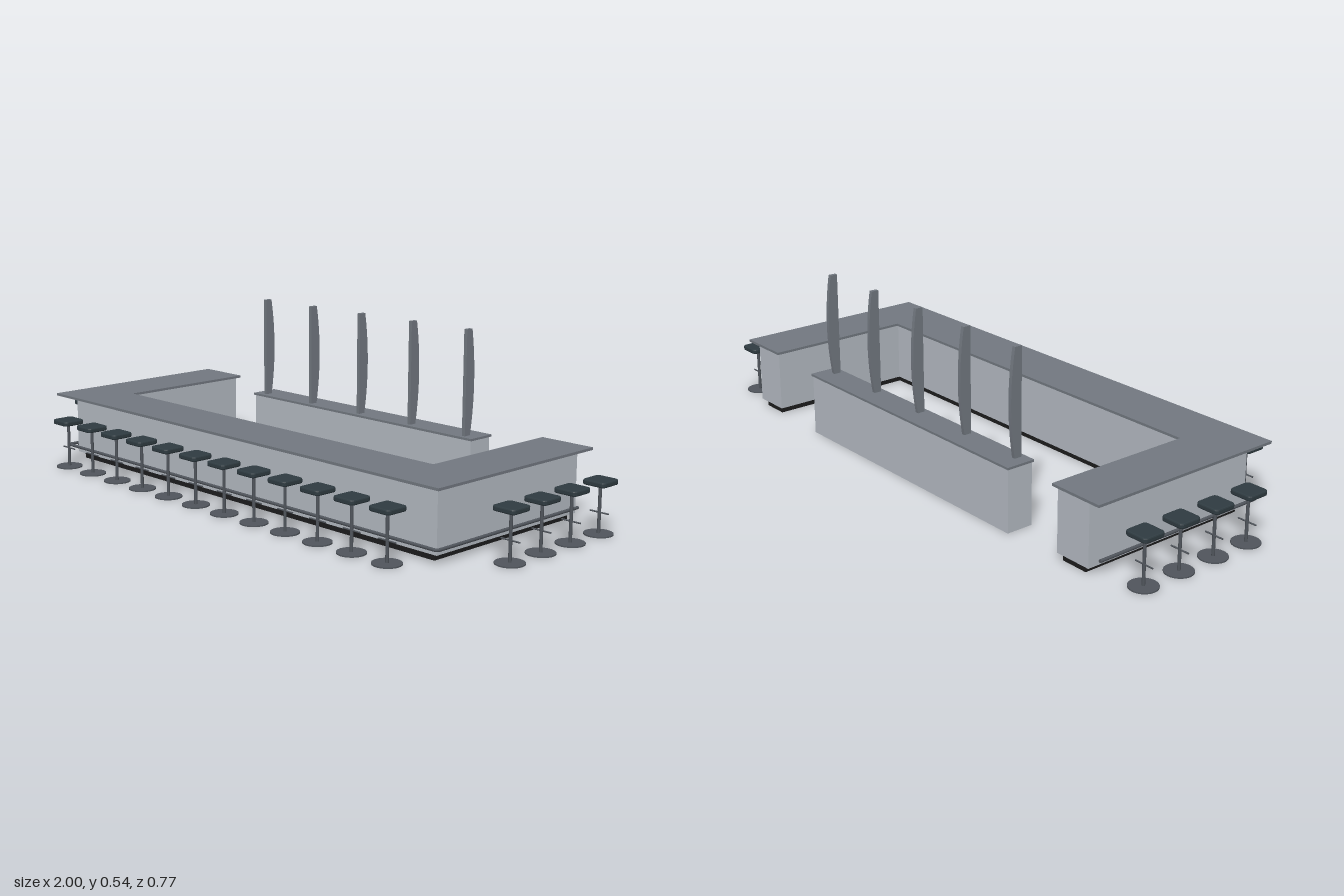
import * as THREE from 'three';

const mat = (name, color) => {
  const m = new THREE.MeshStandardMaterial({ color });
  m.name = name;
  return m;
};

export function createModel() {
  const root = new THREE.Group();
  root.name = 'barCounterWithStools';
  const panel = mat('pale grey panel', 0xb4bac2);
  const top = mat('slate grey top', 0x727880);
  const plinthBlack = mat('black plinth', 0x1c1c1d);
  const metal = mat('dark metal', 0x50555c);
  const leather = mat('dark seat', 0x2f3b41);

  const add = (parent, name, geometry, material, x = 0, y = 0, z = 0) => {
    const mesh = new THREE.Mesh(geometry, material);
    mesh.name = name;
    mesh.position.set(x, y, z);
    parent.add(mesh);
    return mesh;
  };

  // U-shaped slab, open towards the back, standing from y0 to y1
  const uSlab = (outX, inX, front, inFront, back, y0, y1) => {
    const pts = [[-outX, front], [outX, front], [outX, back], [inX, back],
      [inX, inFront], [-inX, inFront], [-inX, back], [-outX, back]];
    const shape = new THREE.Shape(pts.map(([x, z]) => new THREE.Vector2(x, -z)));
    const g = new THREE.ExtrudeGeometry(shape, { depth: y1 - y0, bevelEnabled: false });
    return g.rotateX(-Math.PI / 2).translate(0, y0, 0);
  };

  // Main counter
  const counter = new THREE.Group();
  counter.name = 'counter';
  root.add(counter);
  add(counter, 'plinth', uSlab(0.802, 0.712, 0.228, 0.132, -0.362, 0, 0.021), plinthBlack);
  add(counter, 'counterBody', uSlab(0.822, 0.698, 0.242, 0.12, -0.372, 0.021, 0.218), panel);
  add(counter, 'counterTop', uSlab(0.868, 0.686, 0.293, 0.108, -0.383, 0.218, 0.226), top);

  // Foot rail around the three outer sides
  const railPath = new THREE.CurvePath();
  const v = (x, z) => new THREE.Vector3(x, 0.046, z);
  const rx = 0.845, rz = 0.267, r = 0.008;
  railPath.add(new THREE.LineCurve3(v(-rx, -0.352), v(-rx, rz - r)));
  railPath.add(new THREE.QuadraticBezierCurve3(v(-rx, rz - r), v(-rx, rz), v(-rx + r, rz)));
  railPath.add(new THREE.LineCurve3(v(-rx + r, rz), v(rx - r, rz)));
  railPath.add(new THREE.QuadraticBezierCurve3(v(rx - r, rz), v(rx, rz), v(rx, rz - r)));
  railPath.add(new THREE.LineCurve3(v(rx, rz - r), v(rx, -0.352)));
  add(counter, 'footRail', new THREE.TubeGeometry(railPath, 400, 0.005, 10), metal);
  for (const s of [-1, 1]) {
    add(counter, 'railCap', new THREE.CircleGeometry(0.005, 10).rotateY(Math.PI), metal, s * rx, 0.046, -0.352);
  }

  // Back island
  const island = new THREE.Group();
  island.name = 'backIsland';
  root.add(island);
  add(island, 'islandBody', new THREE.BoxGeometry(0.982, 0.197, 0.088), panel, 0, 0.0985, -0.328);
  add(island, 'islandTop', new THREE.BoxGeometry(0.992, 0.007, 0.096), top, 0, 0.2, -0.328);

  // Upright fins, straight at the front and bowed at the back
  const finShape = new THREE.Shape();
  finShape.moveTo(0.295, 0.203);
  finShape.lineTo(0.319, 0.203);
  finShape.quadraticCurveTo(0.347, 0.37, 0.319, 0.535);
  finShape.lineTo(0.295, 0.535);
  finShape.closePath();
  const finGeo = new THREE.ExtrudeGeometry(finShape, { depth: 0.012, bevelEnabled: false, curveSegments: 16 });
  finGeo.translate(0, 0, -0.006).rotateY(Math.PI / 2);
  for (let i = -2; i <= 2; i++) add(island, 'fin', finGeo, top, i * 0.226);

  // Stool parts
  const h = 0.0345, c = 0.01;
  const seatShape = new THREE.Shape();
  seatShape.moveTo(-h + c, -h);
  seatShape.lineTo(h - c, -h);
  seatShape.quadraticCurveTo(h, -h, h, -h + c);
  seatShape.lineTo(h, h - c);
  seatShape.quadraticCurveTo(h, h, h - c, h);
  seatShape.lineTo(-h + c, h);
  seatShape.quadraticCurveTo(-h, h, -h, h - c);
  seatShape.lineTo(-h, -h + c);
  seatShape.quadraticCurveTo(-h, -h, -h + c, -h);
  const seatGeo = new THREE.ExtrudeGeometry(seatShape, {
    depth: 0.008, bevelThickness: 0.004, bevelSize: 0.004, bevelSegments: 2, curveSegments: 4,
  });
  seatGeo.rotateX(-Math.PI / 2).translate(0, 0.151, 0);
  const plateGeo = new THREE.CylinderGeometry(0.02, 0.03, 0.004, 16);
  const postGeo = new THREE.CylinderGeometry(0.005, 0.005, 0.143, 12);
  const baseGeo = new THREE.CylinderGeometry(0.043, 0.043, 0.004, 28);
  const barGeo = new THREE.CylinderGeometry(0.0025, 0.0025, 0.064, 8).rotateZ(Math.PI / 2);

  const addStool = (x, z) => {
    const stool = new THREE.Group();
    stool.name = 'stool';
    stool.position.set(x, 0, z);
    root.add(stool);
    add(stool, 'seat', seatGeo, leather);
    add(stool, 'seatPlate', plateGeo.clone().rotateX(Math.PI), leather, 0, 0.146, 0);
    add(stool, 'post', postGeo, metal, 0, 0.0755, 0);
    add(stool, 'base', baseGeo, metal, 0, 0.002, 0);
    add(stool, 'footBar', barGeo, metal, 0, 0.065, 0);
  };

  // Twelve stools in front, four along each side
  for (let i = 0; i < 12; i++) addStool((i - 5.5) * 0.1335, 0.342);
  for (const s of [-1, 1]) {
    for (let i = 0; i < 4; i++) addStool(s * 0.957, 0.1 - i * 0.1335);
  }
  return root;
}
